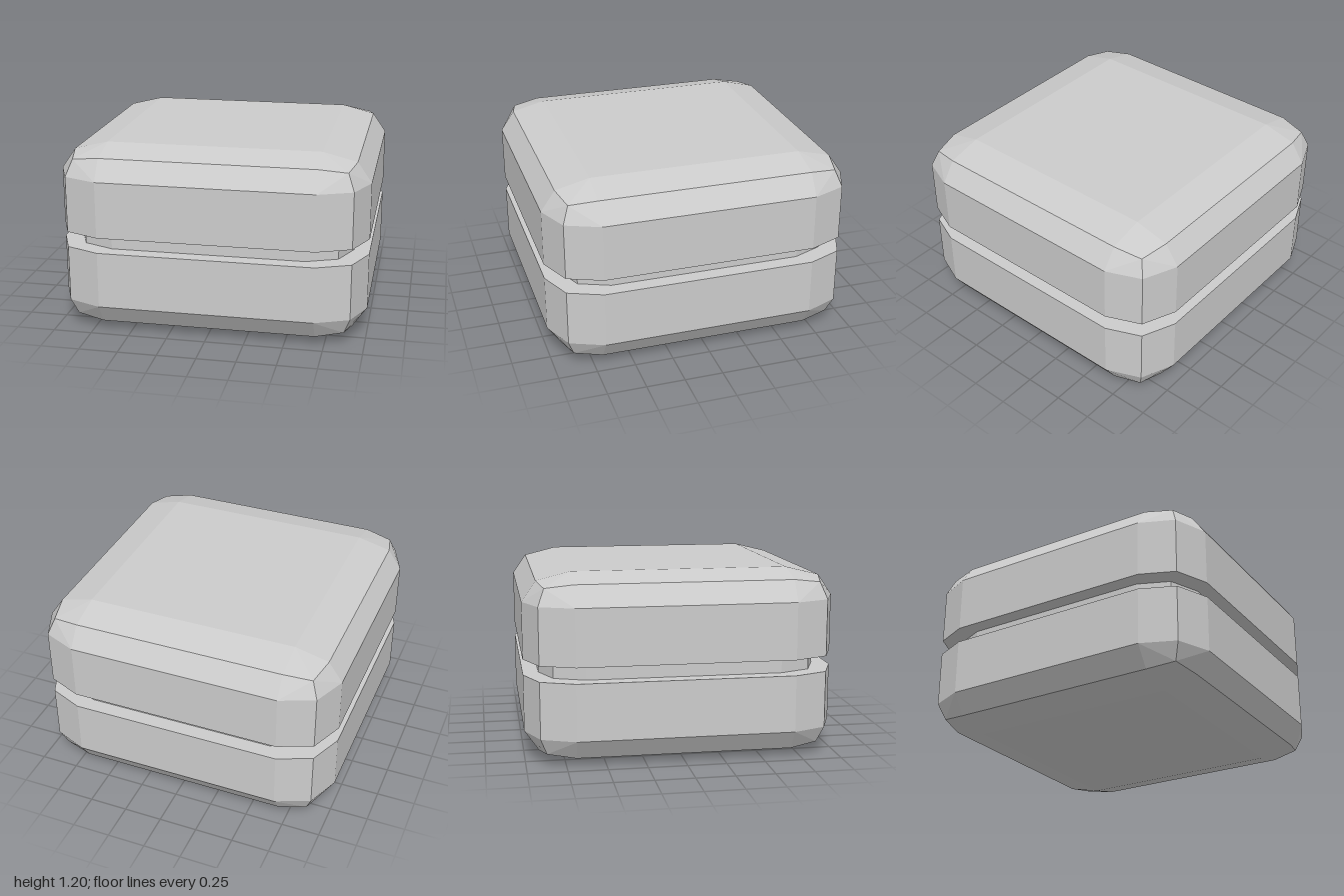
import * as THREE from 'three';

const CORE = 0.69;        // half width of the flat faces
const RADIUS = 0.31;      // bevel size in x and z
const CORE_Y = 0.415;     // height where the bevel starts, above the mid plane
const RADIUS_Y = 0.185;   // bevel size in y
const GAP = 0.05;         // half height of the groove
const MID = 0.6;          // height of the mid plane

// Direction of a grid coordinate: only the outermost rows belong to the bevel.
const outer = (v) => (Math.abs(v) > 0.99 ? Math.sign(v) : 0);

// Half of a bevelled block: rounded sides and top, flat underside at y = GAP.
function halfGeometry() {
  const geo = new THREE.BoxGeometry(2, 2, 2, 3, 2, 3);
  const pos = geo.attributes.position;
  const dir = new THREE.Vector3();
  const isCorner = [];
  for (let i = 0; i < pos.count; i++) {
    const x = pos.getX(i), y = pos.getY(i), z = pos.getZ(i);
    dir.set(outer(x), Math.max(0, outer(y)), outer(z));
    isCorner.push(dir.lengthSq() > 2.5);
    dir.normalize();
    pos.setXYZ(i,
      Math.sign(x) * CORE + dir.x * RADIUS,
      y < -0.5 ? GAP : CORE_Y + dir.y * RADIUS_Y,
      Math.sign(z) * CORE + dir.z * RADIUS);
  }
  // Turn the diagonals so that they run into the corner points.
  const idx = geo.index;
  for (let q = 0; q < idx.count; q += 6) {
    const a = idx.getX(q), b = idx.getX(q + 1), d = idx.getX(q + 2), c = idx.getX(q + 4);
    if (isCorner[a] || isCorner[c]) [a, b, c, a, c, d].forEach((v, k) => idx.setX(q + k, v));
  }
  const flat = geo.toNonIndexed();
  flat.computeVertexNormals();
  return flat;
}

// Recessed band: the same eight-facet-cornered outline at 90 % width.
function bandGeometry() {
  const mid = CORE + RADIUS * Math.SQRT1_2;
  const points = [];
  for (let k = 0; k < 4; k++) {
    for (const [x, y] of [[1, CORE], [mid, mid], [CORE, 1]]) {
      points.push(new THREE.Vector2(x, y).multiplyScalar(0.9)
        .rotateAround(new THREE.Vector2(), k * Math.PI / 2));
    }
  }
  const geo = new THREE.ExtrudeGeometry(new THREE.Shape(points), { depth: 2 * GAP, bevelEnabled: false });
  return geo.rotateX(-Math.PI / 2).translate(0, -GAP, 0);
}

export function createModel() {
  const group = new THREE.Group();
  const material = new THREE.MeshStandardMaterial({ color: 0xcccccc, flatShading: true });
  const add = (name, geometry) => {
    const mesh = new THREE.Mesh(geometry, material);
    mesh.name = name;
    mesh.position.y = MID;
    group.add(mesh);
    return mesh;
  };

  const half = halfGeometry();
  add('upperHalf', half);
  add('lowerHalf', half).rotation.x = Math.PI;
  add('middleBand', bandGeometry());
  return group;
}
